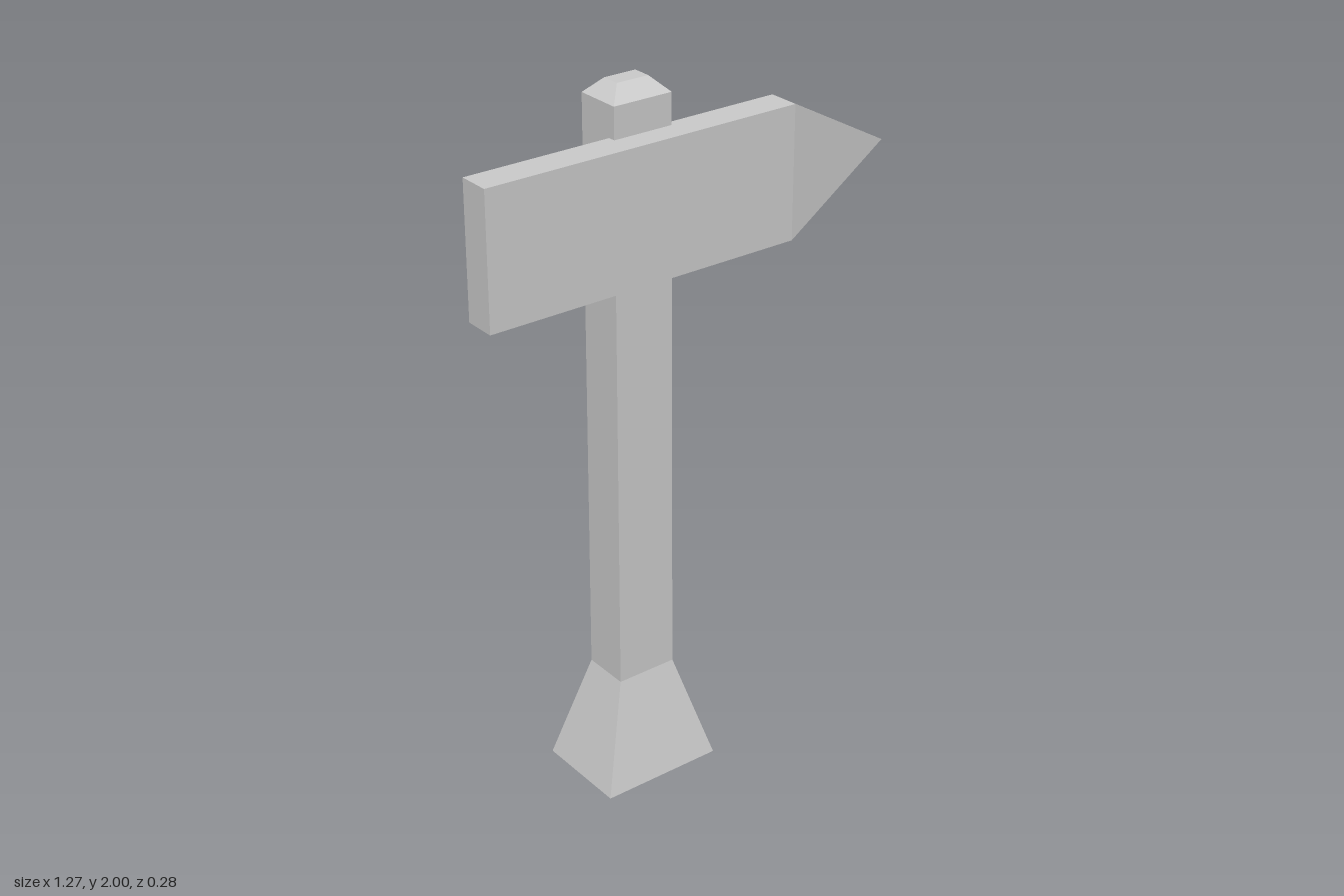
import * as THREE from 'three';

// Flat-shaded solid through rings of four corners, each counterclockwise seen from the far end
function loft(rings) {
  const points = [];
  const tri = (a, b, c) => {
    if (new THREE.Triangle(a, b, c).getArea() > 1e-8) points.push(a, b, c);
  };
  const quad = (a, b, c, d) => { tri(a, b, c); tri(a, c, d); };
  for (let k = 0; k < rings.length - 1; k++) {
    const a = rings[k], b = rings[k + 1];
    for (let i = 0; i < 4; i++) {
      const j = (i + 1) % 4;
      quad(a[i], a[j], b[j], b[i]);
    }
  }
  quad(...[...rings[0]].reverse());
  quad(...rings[rings.length - 1]);
  const geometry = new THREE.BufferGeometry().setFromPoints(points);
  geometry.computeVertexNormals();
  return geometry;
}

const corners = [[-1, -1], [1, -1], [1, 1], [-1, 1]];

// Level rectangle at height y, with half width and half depth
const levelRing = (y, cx, cz, w, d) =>
  corners.map(([a, b]) => new THREE.Vector3(cx + b * w, y, cz + a * d));

// Upright rectangle at x, with half height and half depth
const uprightRing = (x, cy, cz, h, d) =>
  corners.map(([a, b]) => new THREE.Vector3(x, cy + a * h, cz + b * d));

export function createModel() {
  const group = new THREE.Group();
  const gray = new THREE.MeshStandardMaterial({ color: 0xcccccc });
  gray.name = 'plain gray';

  const add = (name, geometry) => {
    const mesh = new THREE.Mesh(geometry, gray);
    mesh.name = name;
    group.add(mesh);
  };

  // Post with a flared foot and a bevelled top
  add('post', loft([
    levelRing(0, -0.132, -0.001, 0.18, 0.139),
    levelRing(0.31, -0.132, -0.001, 0.089, 0.068),
    levelRing(1.96, -0.131, -0.002, 0.087, 0.066),
    levelRing(2, -0.132, -0.002, 0.047, 0.026),
  ]));

  // Board ending in a pyramid point
  add('arrowBoard', loft([
    uprightRing(-0.637, 1.69, 0.089, 0.185, 0.045),
    uprightRing(0.293, 1.69, 0.089, 0.185, 0.045),
    uprightRing(0.635, 1.69, 0.089, 0, 0),
  ]));

  return group;
}
